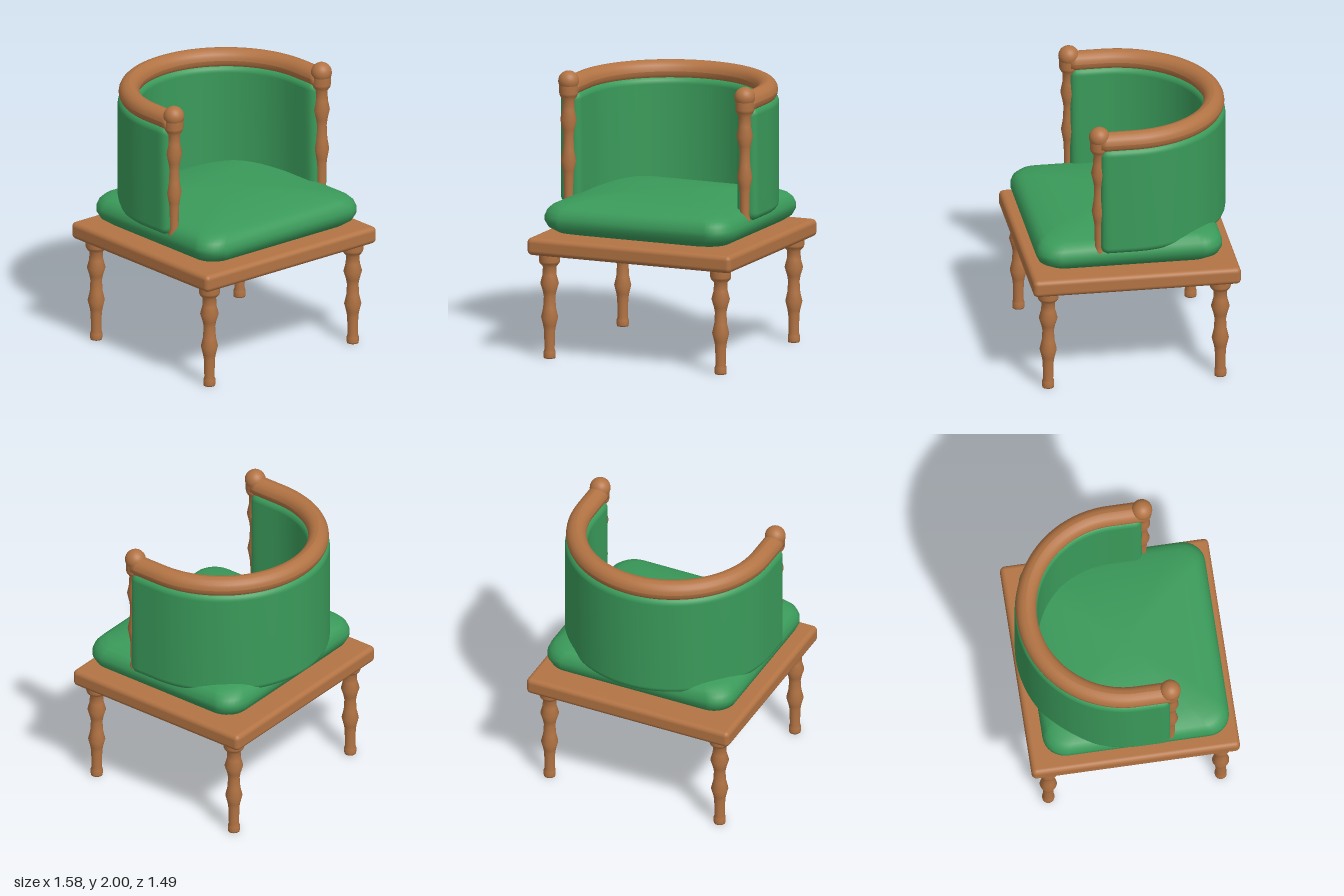
import * as THREE from 'three';
import { RoundedBoxGeometry } from 'three/addons/geometries/RoundedBoxGeometry.js';

const wood = new THREE.MeshStandardMaterial({ color: 0xb27343 });
wood.name = 'wood';
const fabric = new THREE.MeshStandardMaterial({ color: 0x3a9a5a });
fabric.name = 'green fabric';

// Horseshoe path shared by the rail and the backrest
const R = 0.685, FRONT = 0.25, STRAIGHT = 0.23;
const ARC = Math.PI * R, LENGTH = ARC + 2 * STRAIGHT;

function station(s) {
  const a = THREE.MathUtils.clamp((s - STRAIGHT) / R, 0, Math.PI);
  const extra = Math.max(STRAIGHT - s, s - STRAIGHT - ARC, 0);
  const nx = Math.cos(a), nz = -Math.sin(a);
  return { x: R * nx, z: FRONT - STRAIGHT + extra + R * nz, nx, nz };
}

// Counter-clockwise rounded rectangle as [u, v] points
function roundRect(hw, hh, r, seg = 6) {
  const pts = [];
  [[1, 1], [-1, 1], [-1, -1], [1, -1]].forEach(([sx, sy], q) => {
    for (let i = 0; i <= seg; i++) {
      const a = (q + i / seg) * Math.PI / 2;
      pts.push([sx * (hw - r) + r * Math.cos(a), sy * (hh - r) + r * Math.sin(a)]);
    }
  });
  return pts;
}

// Skin a list of loops and close both ends
function loft(loops) {
  const n = loops[0].length, pos = loops.flat(2), idx = [];
  for (let i = 0; i < loops.length - 1; i++) {
    for (let j = 0; j < n; j++) {
      const k = (j + 1) % n, a = i * n, b = a + n;
      idx.push(a + j, b + j, a + k, a + k, b + j, b + k);
    }
  }
  [0, loops.length - 1].forEach((l) => {
    const c = pos.length / 3;
    for (let d = 0; d < 3; d++) pos.push(loops[l].reduce((t, p) => t + p[d], 0) / n);
    for (let j = 0; j < n; j++) {
      const p = l * n + j, q = l * n + (j + 1) % n;
      idx.push(c, l ? q : p, l ? p : q);
    }
  });
  const g = new THREE.BufferGeometry();
  g.setAttribute('position', new THREE.Float32BufferAttribute(pos, 3));
  g.setIndex(idx);
  g.computeVertexNormals();
  return g;
}

// Sweep a section along the horseshoe; ends holds [distance, inset] pairs
function sweep(sectionAt, centreY, ends) {
  const last = ends[ends.length - 1][0], steps = 64, stops = [...ends];
  for (let i = 1; i < steps; i++) stops.push([last + (LENGTH - 2 * last) * i / steps, 0]);
  [...ends].reverse().forEach(([d, inset]) => stops.push([LENGTH - d, inset]));
  return loft(stops.map(([s, inset]) => {
    const p = station(s);
    return sectionAt(inset).map(([u, v]) => [p.x + p.nx * u, centreY + v, p.z + p.nz * u]);
  }));
}

// Turned profile used by both the legs and the arm posts: [radius, height]
const turned = [[0, 0], [0.041, 0], [0.043, 0.01], [0.043, 0.045], [0.036, 0.065], [0.04, 0.2],
  [0.046, 0.235], [0.061, 0.295], [0.046, 0.36], [0.041, 0.44], [0.048, 0.48], [0.066, 0.54],
  [0.05, 0.6], [0.048, 0.66], [0.07, 0.685], [0.075, 0.7], [0.075, 0.75]];

function turning() {
  return new THREE.LatheGeometry(turned.map(([r, y]) => new THREE.Vector2(r, y)), 20);
}

export function createModel() {
  const group = new THREE.Group();
  const add = (name, geometry, material, x = 0, y = 0, z = 0) => {
    const mesh = new THREE.Mesh(geometry, material);
    mesh.name = name;
    mesh.position.set(x, y, z);
    group.add(mesh);
    return mesh;
  };

  // Seat base
  add('seatBase', new RoundedBoxGeometry(1.584, 0.125, 1.485, 4, 0.035), wood, 0, 0.8125, -0.002);

  // Legs, arm posts and ball finials
  for (const [side, sx] of [['left', 1], ['right', -1]]) {
    add(side + 'FrontLeg', turning(), wood, sx * 0.665, 0, 0.618);
    add(side + 'BackLeg', turning(), wood, sx * 0.665, 0, -0.612);
    add(side + 'ArmPost', turning(), wood, sx * R, 1, FRONT + 0.005).scale.set(0.9, 1.2, 0.9);
    add(side + 'Finial', new THREE.SphereGeometry(0.074, 24, 16), wood, sx * R, 1.926, FRONT + 0.005);
  }

  // Domed cushion: [scale, height] of each outline from bottom to top
  const layers = [[0.3, 0.872], [0.6, 0.872], [0.78, 0.885], [0.9, 0.905], [0.97, 0.94], [1, 0.985],
    [1, 1.02], [0.98, 1.06], [0.94, 1.09], [0.88, 1.11], [0.75, 1.13], [0.55, 1.15], [0.3, 1.163], [0.1, 1.166]];
  const outline = roundRect(0.728, 0.664, 0.16, 8);
  add('cushion', loft(layers.map(([k, y]) => outline.map(([x, z]) => [x * k, y, z * k]))),
    fabric, 0, 0, 0.025);

  // Curved backrest with softened edges
  add('backrest', sweep((inset) => roundRect(0.08 - inset, 0.405 - inset, 0.05 - inset * 0.6),
    1.44, [[0, 0.045], [0.006, 0.026], [0.02, 0.01], [0.045, 0]]), fabric);

  // Round top rail
  add('topRail', sweep(() => roundRect(0.073, 0.073, 0.073, 5), 1.882, [[0, 0]]), wood);

  return group;
}
